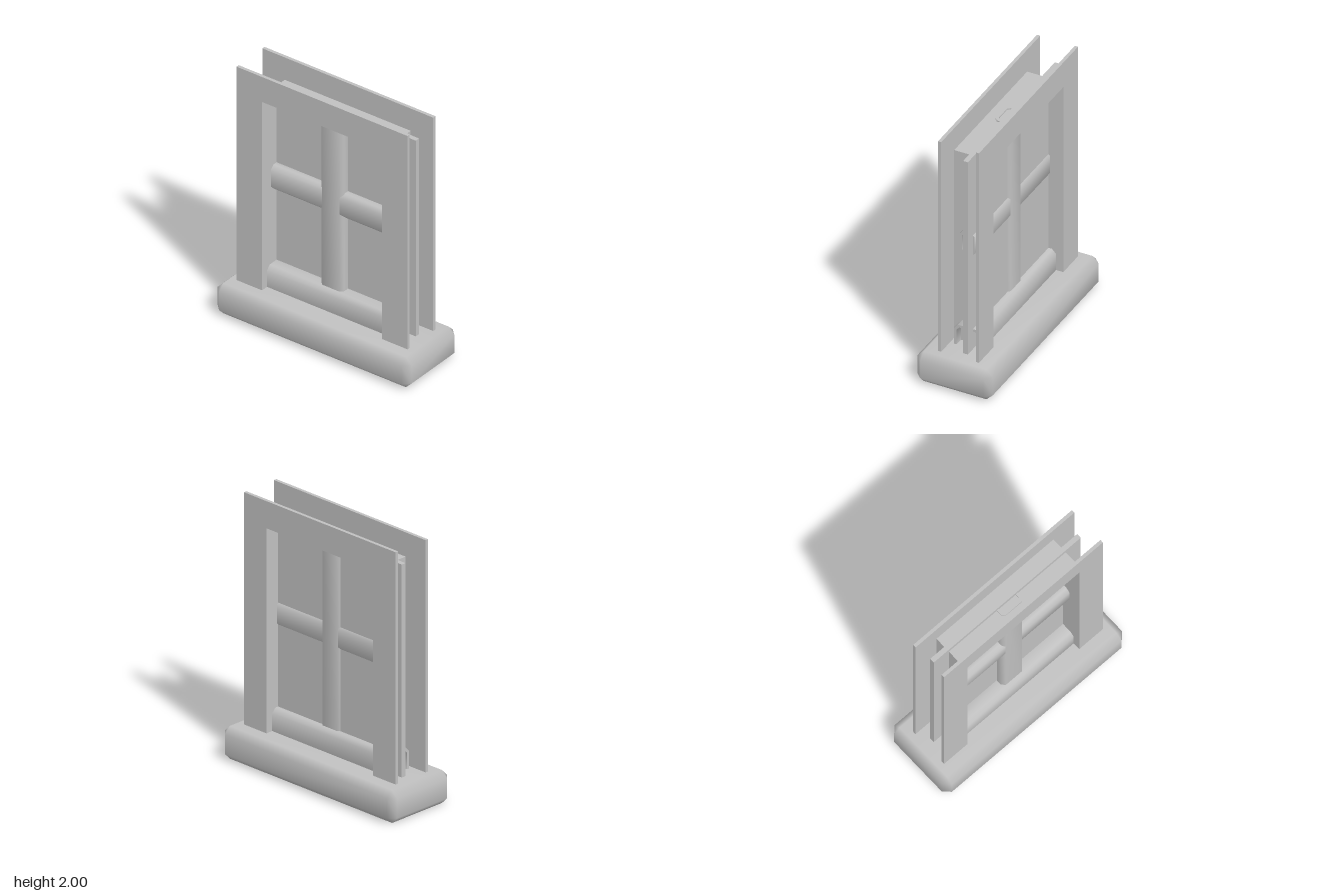
import * as THREE from 'three';
import { toCreasedNormals, mergeVertices } from 'three/addons/utils/BufferGeometryUtils.js';
import { ConvexGeometry } from 'three/addons/geometries/ConvexGeometry.js';

const grey = new THREE.MeshStandardMaterial({ color: 0xc0c0c0 });
grey.name = 'plain grey';

function add(group, name, geometry) {
  const mesh = new THREE.Mesh(geometry, grey);
  mesh.name = name;
  group.add(mesh);
  return mesh;
}

// Closed shape from [x, y] corners
function polygon(points) {
  return new THREE.Shape(points.map(([x, y]) => new THREE.Vector2(x, y)));
}

// Upside-down U: a rectangle with an opening that reaches the bottom edge
function archShape(halfOuter, top, halfInner, innerTop, bottom) {
  return polygon([
    [-halfOuter, bottom], [-halfInner, bottom], [-halfInner, innerTop], [halfInner, innerTop],
    [halfInner, bottom], [halfOuter, bottom], [halfOuter, top], [-halfOuter, top],
  ]);
}

function extrude(shape, z0, z1) {
  const g = new THREE.ExtrudeGeometry(shape, { depth: z1 - z0, bevelEnabled: false });
  return g.translate(0, 0, z0);
}

// Rectangle with cut corners
function chamfered(x0, x1, y0, y1, c) {
  return [
    [x0 + c, y0], [x1 - c, y0], [x1, y0 + c], [x1, y1 - c],
    [x1 - c, y1], [x0 + c, y1], [x0, y1 - c], [x0, y0 + c],
  ];
}

// Hollow bar with softly shaded cut corners, running along z
function hollowBar(x0, x1, y0, y1, cut, wall, start, end) {
  const shape = polygon(chamfered(x0, x1, y0, y1, cut));
  shape.holes.push(polygon(chamfered(x0 + wall, x1 - wall, y0 + wall, y1 - wall, cut * 0.7)));
  return toCreasedNormals(extrude(shape, start, end), 1);
}

// Box with all edges cut, smooth normals
function softBlock(hx, hy, hz, c) {
  const points = [];
  for (const sx of [-1, 1]) for (const sy of [-1, 1]) for (const sz of [-1, 1]) {
    points.push(
      new THREE.Vector3(sx * hx, sy * (hy - c), sz * (hz - c)),
      new THREE.Vector3(sx * (hx - c), sy * hy, sz * (hz - c)),
      new THREE.Vector3(sx * (hx - c), sy * (hy - c), sz * hz),
    );
  }
  const g = new ConvexGeometry(points);
  g.deleteAttribute('normal');
  const merged = mergeVertices(g, 1e-4);
  merged.computeVertexNormals();
  return merged;
}

export function createModel() {
  const model = new THREE.Group();
  model.name = 'window';

  // Heavy sill at the base
  add(model, 'sill', softBlock(0.84, 0.124, 0.295, 0.05)).position.y = 0.124;

  // Flat casings on both faces of the wall
  const casing = archShape(0.74, 2, 0.52, 1.795, 0.2);
  add(model, 'frontCasing', extrude(casing, 0.135, 0.16));
  add(model, 'backCasing', extrude(casing, -0.16, -0.135));

  // Lining of the opening between the casings
  add(model, 'lining', extrude(archShape(0.545, 1.817, 0.52, 1.795, 0.2), -0.135, 0.135));

  // Pane
  const pane = new THREE.BoxGeometry(1.37, 1.65, 0.037);
  add(model, 'pane', pane).position.set(0, 1.03, -0.026);

  // Vertical glazing bar: section in x/z, run along y
  const upright = hollowBar(-0.098, 0.098, -0.06, 0.06, 0.024, 0.02, 0.3, 1.827);
  add(model, 'verticalBar', upright.rotateX(-Math.PI / 2));

  // Horizontal glazing bar and bottom rail: section in z/y, run along x
  const cross = hollowBar(-0.058, 0.058, 1.018, 1.215, 0.03, 0.02, -0.61, 0.61);
  add(model, 'horizontalBar', cross.rotateY(Math.PI / 2));
  const rail = hollowBar(-0.103, 0.103, 0.17, 0.415, 0.032, 0.02, -0.61, 0.61);
  add(model, 'bottomRail', rail.rotateY(Math.PI / 2));

  return model;
}
